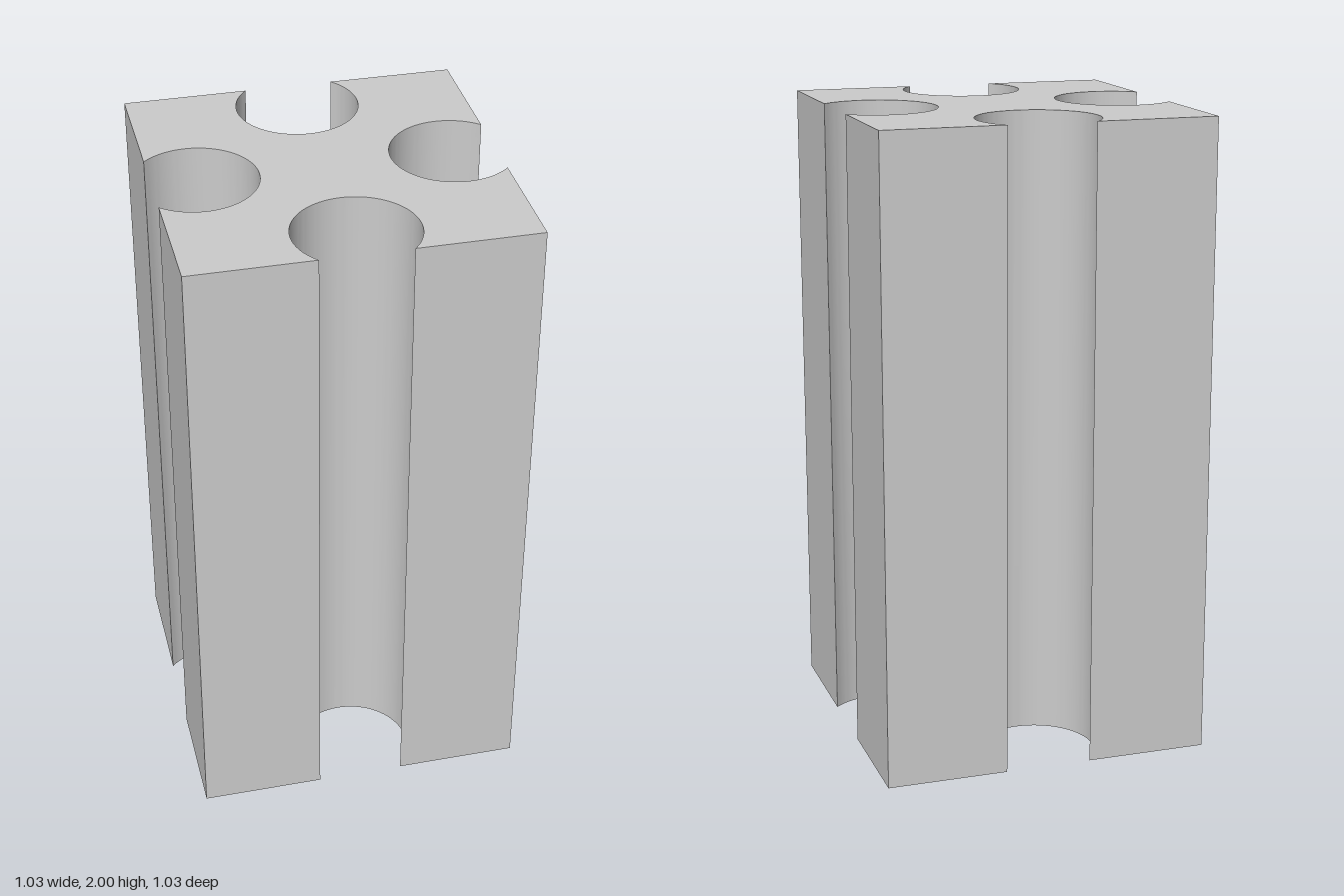
import * as THREE from 'three';
import { toCreasedNormals } from 'three/addons/utils/BufferGeometryUtils.js';

const HEIGHT = 2;
const HALF = 0.516;    // half the width of the square section
const CENTRE = 0.386;  // distance of each groove's axis from the middle
const RADIUS = 0.188;  // groove radius

// Square section with a round groove cut into the middle of each side
function sectionShape() {
  const shape = new THREE.Shape();
  const lip = Math.acos((HALF - CENTRE) / RADIUS); // angle from outward direction to groove lip
  for (let i = 0; i < 4; i++) {
    const a = (i - 1) * Math.PI / 2;
    const cos = Math.round(Math.cos(a)), sin = Math.round(Math.sin(a));
    shape.absarc(CENTRE * cos, CENTRE * sin, RADIUS, a - lip, a + lip, true);
    // corner following this side
    shape.lineTo(HALF * (cos - sin), HALF * (sin + cos));
  }
  shape.closePath();
  return shape;
}

export function createModel() {
  const grey = new THREE.MeshStandardMaterial({ color: 0xcccccc });
  grey.name = 'light grey';

  // Upright extrusion, smooth inside the grooves and sharp at the edges
  let geometry = new THREE.ExtrudeGeometry(sectionShape(), {
    depth: HEIGHT, bevelEnabled: false, curveSegments: 48,
  });
  geometry.rotateX(-Math.PI / 2);
  geometry = toCreasedNormals(geometry, Math.PI / 6);

  const column = new THREE.Mesh(geometry, grey);
  column.name = 'groovedColumn';

  const model = new THREE.Group();
  model.name = 'groovedProfile';
  model.add(column);
  return model;
}
